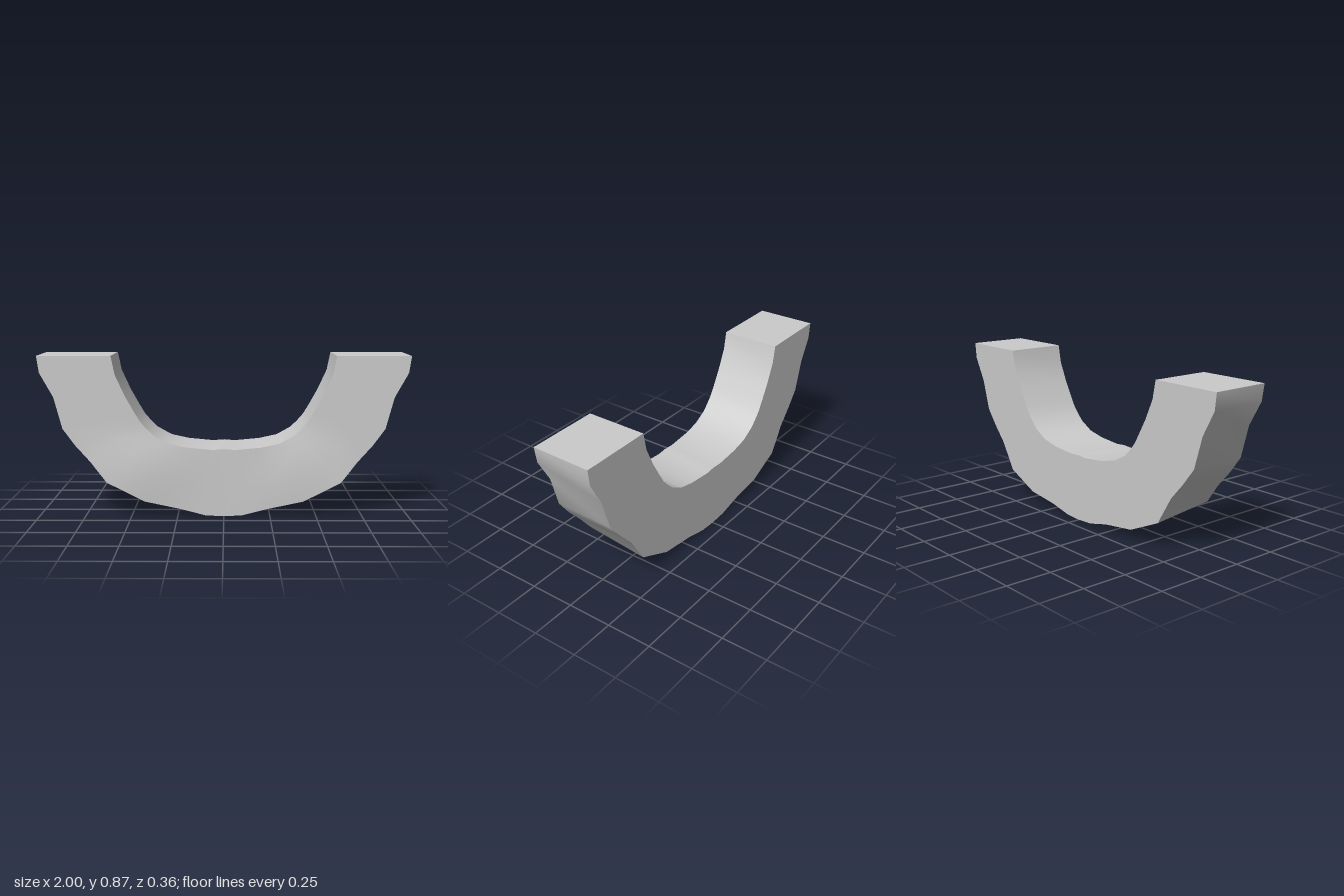
import * as THREE from 'three';
import { toCreasedNormals } from 'three/addons/utils/BufferGeometryUtils.js';

const BACK = -0.178, FRONT = 0.155;

// Stations from the tip to the middle:
// outer x, outer y, inner x, inner y, front edge dx, dy, bulge at mid-face, bulge at outer edge
const HALF = [
  [1.00, 0.87, 0.60, 0.87, -0.005, 0, 0, 0],
  [0.99, 0.78, 0.58, 0.77, -0.008, 0, 0, 0],
  [0.92, 0.65, 0.53, 0.66, -0.01, 0, 0, 0],
  [0.87, 0.48, 0.48, 0.57, -0.005, 0, 0, 0],
  [0.80, 0.39, 0.45, 0.52, 0, 0, 0, 0],
  [0.72, 0.30, 0.42, 0.485, 0, 0, 0.008, 0],
  [0.63, 0.15, 0.38, 0.445, 0, 0.04, 0.023, 0.023],
  [0.43, 0.06, 0.30, 0.40, 0, 0.025, 0.02, 0.014],
  [0.23, 0.035, 0.20, 0.378, 0, 0.004, 0.003, 0],
  [0.10, 0.005, 0.06, 0.365, 0, 0, 0, 0],
  [0.00, 0.00, 0.00, 0.37, 0, 0, 0, 0],
];

// Cross-section loop: back inner, back outer, then across the front face to the inner edge
function section([ox, oy, ix, iy, dx, dy, mid, edge], side) {
  const fx = ox + dx, fy = oy + dy;
  const across = (t, bulge) => [side * (ix + (fx - ix) * t), iy + (fy - iy) * t, FRONT + bulge];
  return [
    [side * ix, iy, BACK],
    [side * ox, oy, BACK],
    across(1, edge),
    across(0.65, mid),
    across(0.3, mid * 0.7),
    across(0, 0),
  ];
}

function loft(sections) {
  const n = sections[0].length, last = (sections.length - 1) * n;
  const index = [];
  for (let i = 0; i < sections.length - 1; i++) {
    for (let j = 0; j < n; j++) {
      const a = i * n + j, b = i * n + (j + 1) % n;
      index.push(a, b, a + n, b, b + n, a + n);
    }
  }
  // Flat end caps
  for (let j = 1; j < n - 1; j++) {
    index.push(0, j + 1, j, last, last + j, last + j + 1);
  }
  const geometry = new THREE.BufferGeometry();
  geometry.setAttribute('position', new THREE.Float32BufferAttribute(sections.flat(2), 3));
  geometry.setIndex(index);
  return toCreasedNormals(geometry, 0.5);
}

export function createModel() {
  const group = new THREE.Group();
  group.name = 'curvedBlock';

  // Left half from its tip down to the middle, then the mirrored half back up
  const left = HALF.map((s) => section(s, 1));
  const right = HALF.slice(0, -1).reverse().map((s) => section(s, -1));

  const arch = new THREE.Mesh(
    loft([...left, ...right]),
    new THREE.MeshStandardMaterial({ color: 0xcccccc })
  );
  arch.name = 'arch';
  group.add(arch);
  return group;
}
